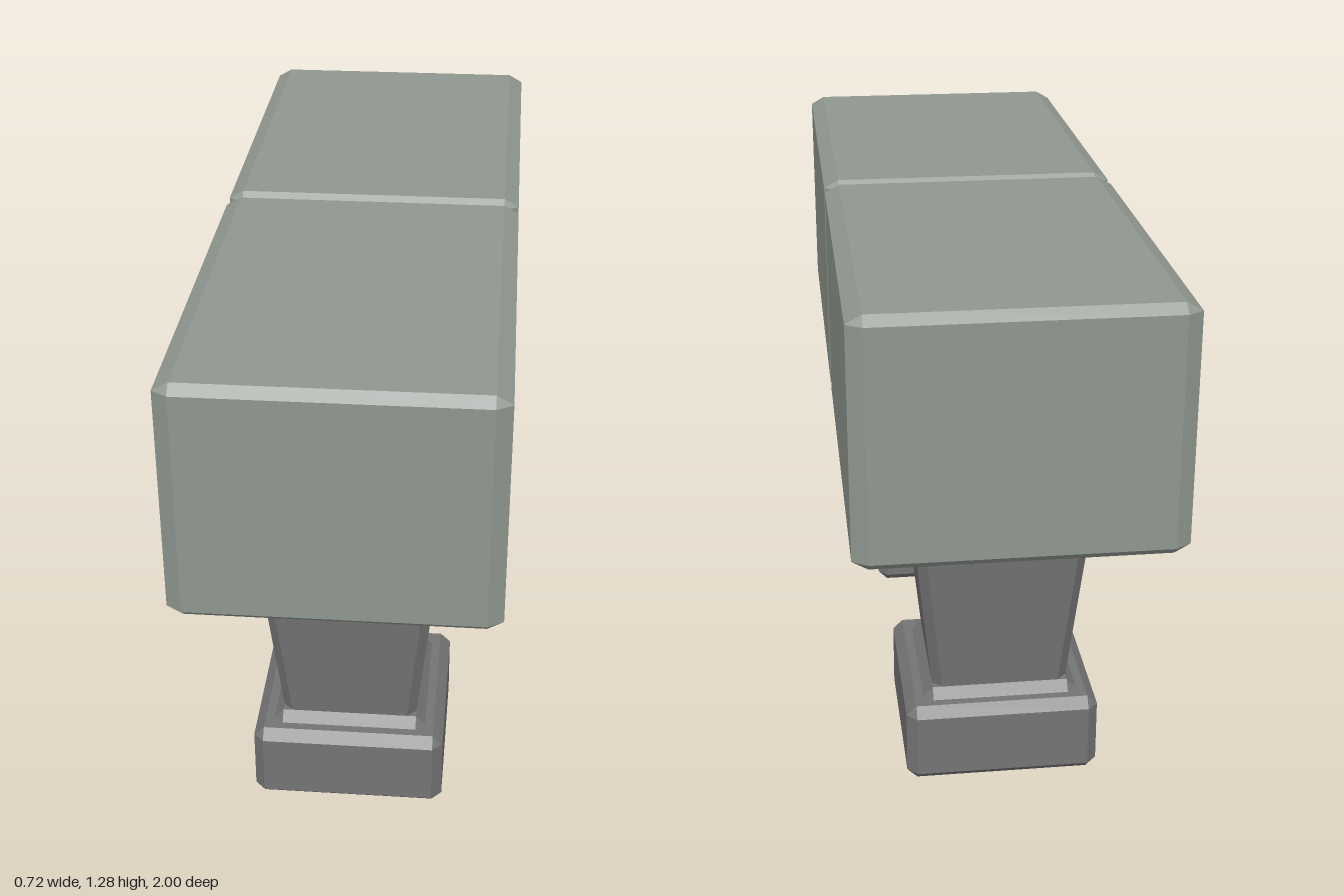
import * as THREE from 'three';

// Chamfered rectangle: half sizes hx, hz with corner cuts cx, cz
function ring([y, hx, hz, cx, cz]) {
  return [
    [hx, -hz + cz], [hx, hz - cz], [hx - cx, hz], [-hx + cx, hz],
    [-hx, hz - cz], [-hx, -hz + cz], [-hx + cx, -hz], [hx - cx, -hz],
  ].map(([x, z]) => new THREE.Vector3(x, y, z));
}

// Skin a stack of sections from bottom to top and cap both ends
function loft(sections) {
  const rings = sections.map(ring);
  const points = [];
  const tri = (a, b, c) => {
    if (new THREE.Triangle(a, b, c).getArea() > 1e-9) points.push(a, b, c);
  };
  for (let r = 0; r < rings.length - 1; r++) {
    const lo = rings[r], hi = rings[r + 1];
    for (let i = 0; i < 8; i++) {
      const j = (i + 1) % 8;
      tri(lo[i], hi[i], hi[j]);
      tri(lo[i], hi[j], lo[j]);
    }
  }
  const bottom = rings[0], top = rings[rings.length - 1];
  for (let i = 1; i < 7; i++) {
    tri(bottom[0], bottom[i], bottom[i + 1]);
    tri(top[0], top[i + 1], top[i]);
  }
  const geometry = new THREE.BufferGeometry().setFromPoints(points);
  geometry.computeVertexNormals();
  return geometry;
}

// Box with every edge bevelled by bx, by, bz
function bevelledBox(y0, y1, hx, hz, bx, by, bz) {
  return loft([
    [y0, hx - bx, hz - bz, 0, 0],
    [y0 + by, hx, hz, bx, bz],
    [y1 - by, hx, hz, bx, bz],
    [y1, hx - bx, hz - bz, 0, 0],
  ]);
}

export function createModel() {
  const model = new THREE.Group();
  model.name = 'stoneBench';
  const seatMaterial = new THREE.MeshStandardMaterial({ color: 0x8f9790, flatShading: true });
  const legMaterial = new THREE.MeshStandardMaterial({ color: 0x747474, flatShading: true });

  const add = (parent, name, geometry, material) => {
    const mesh = new THREE.Mesh(geometry, material);
    mesh.name = name;
    parent.add(mesh);
    return mesh;
  };

  const seat = bevelledBox(0.72, 1.28, 0.358, 0.5, 0.035, 0.02, 0.022);
  const foot = bevelledBox(0, 0.197, 0.228, 0.228, 0.024, 0.023, 0.024);
  const collar = loft([
    [0.19, 0.183, 0.183, 0.022, 0.022],
    [0.197, 0.183, 0.183, 0.022, 0.022],
    [0.22, 0.161, 0.161, 0, 0],
  ]);
  const column = loft([
    [0.21, 0.16, 0.16, 0.022, 0.022],
    [0.725, 0.214, 0.214, 0.023, 0.023],
  ]);

  // Two halves, each a seat block on a tapered pedestal
  for (const [prefix, side, legZ] of [['front', 1, 0.51], ['back', -1, -0.49]]) {
    add(model, prefix + 'Block', seat, seatMaterial).position.z = side * 0.5;
    const leg = new THREE.Group();
    leg.name = prefix + 'Leg';
    leg.position.z = legZ;
    add(leg, 'foot', foot, legMaterial);
    add(leg, 'collar', collar, legMaterial);
    add(leg, 'column', column, legMaterial);
    model.add(leg);
  }
  return model;
}
